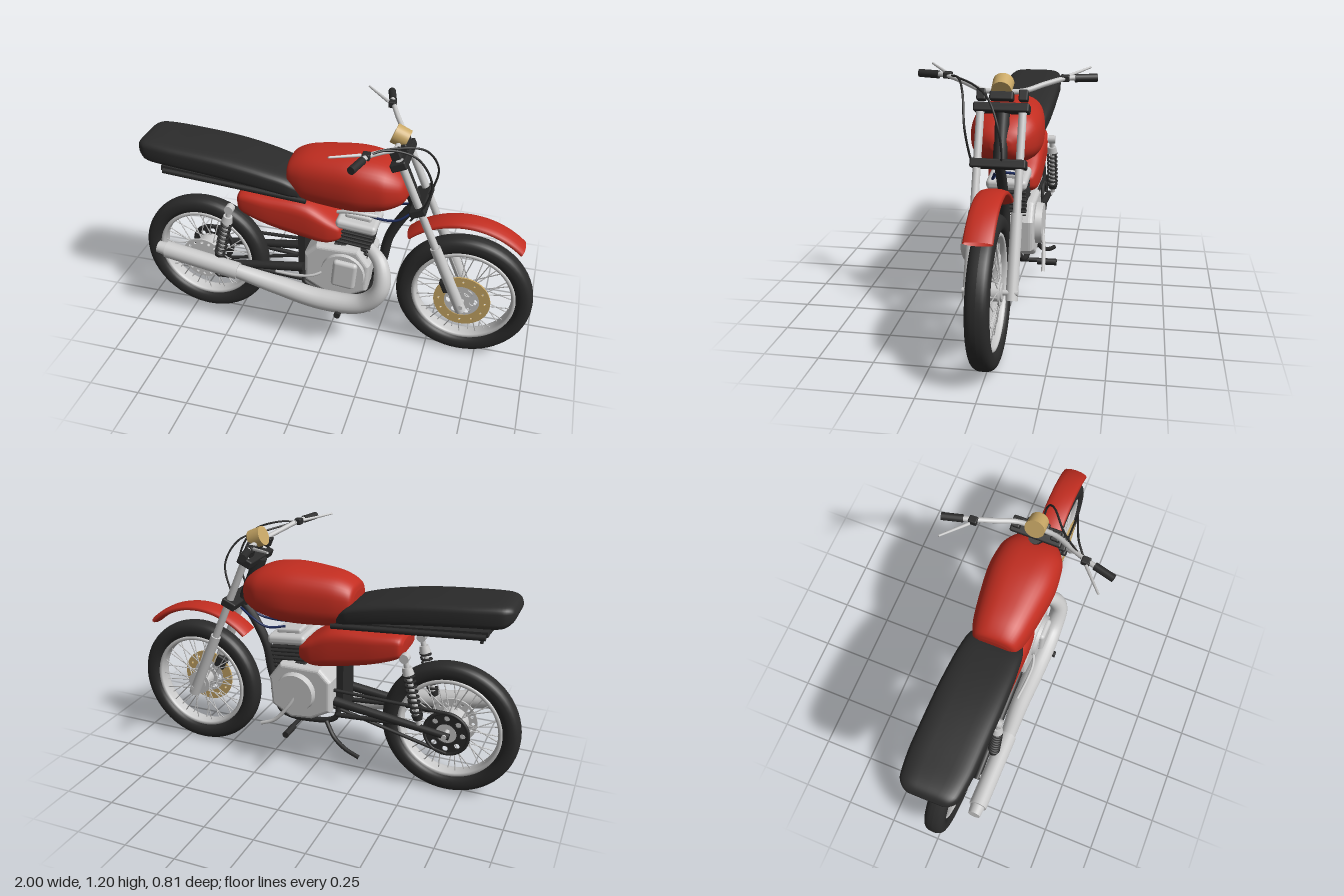
import * as THREE from 'three';
import { RoundedBoxGeometry } from 'three/addons/geometries/RoundedBoxGeometry.js';

const mat = (name, color, side = THREE.FrontSide) => new THREE.MeshStandardMaterial({ name, color, side });
const V = (p) => new THREE.Vector3(...p);
const UP = new THREE.Vector3(0, 1, 0);

export function createModel() {
  const model = new THREE.Group();
  model.name = 'motorcycle';
  const red = mat('red paint', 0xc22d20, THREE.DoubleSide);
  const black = mat('black', 0x2b2b2b);
  const silver = mat('silver', 0xcacaca);
  const gold = mat('gold', 0xc9a866);
  const navy = mat('navy hose', 0x1b2a5c);

  const add = (name, geo, material, pos = [0, 0, 0], parent = model) => {
    const m = new THREE.Mesh(geo, material);
    m.name = name;
    m.position.set(...pos);
    parent.add(m);
    return m;
  };
  // Straight bar between two points
  const rod = (name, a, b, r, material, r2 = r, seg = 16, parent = model) => {
    const d = V(b).sub(V(a));
    const m = add(name, new THREE.CylinderGeometry(r2, r, d.length(), seg), material, [0, 0, 0], parent);
    m.position.copy(V(a).addScaledVector(d, 0.5));
    m.quaternion.setFromUnitVectors(UP, d.normalize());
    return m;
  };
  // Curved pipe; radii, when given as a list, taper along its length
  const pipe = (name, pts, radii, material, seg = 32, sides = 10) => {
    const curve = new THREE.CatmullRomCurve3(pts.map(V));
    if (!Array.isArray(radii)) return add(name, new THREE.TubeGeometry(curve, seg, radii, sides), material);
    const geo = new THREE.TubeGeometry(curve, seg, 1, sides);
    const pos = geo.attributes.position, p = new THREE.Vector3();
    for (let i = 0; i < pos.count; i++) {
      const t = Math.floor(i / (sides + 1)) / seg;
      const f = t * (radii.length - 1), k = Math.min(Math.floor(f), radii.length - 2);
      const c = curve.getPointAt(t);
      p.fromBufferAttribute(pos, i).sub(c).multiplyScalar(THREE.MathUtils.lerp(radii[k], radii[k + 1], f - k)).add(c);
      pos.setXYZ(i, p.x, p.y, p.z);
    }
    return add(name, geo, material);
  };
  // Smooth body along x from stations [x, top, bottom, half width]
  const loft = (name, stations, power, material, steps = 40, n = 40) => {
    const side = new THREE.CatmullRomCurve3(stations.map((s) => V([s[0], s[1], s[2]])));
    const plan = new THREE.CatmullRomCurve3(stations.map((s) => V([s[3], 0, 0])));
    const verts = [], idx = [];
    const pw = (v) => Math.sign(v) * Math.abs(v) ** (2 / power);
    for (let i = 0; i <= steps; i++) {
      const s = side.getPoint(i / steps), w = plan.getPoint(i / steps).x;
      for (let j = 0; j < n; j++) {
        const a = (j / n) * Math.PI * 2;
        verts.push(s.x, (s.y + s.z) / 2 + ((s.y - s.z) / 2) * pw(Math.sin(a)), w * pw(Math.cos(a)));
      }
    }
    const ends = [stations[0], stations[stations.length - 1]];
    for (const e of ends) verts.push(e[0], (e[1] + e[2]) / 2, 0);
    const c0 = (steps + 1) * n, last = steps * n;
    for (let j = 0; j < n; j++) {
      const k = (j + 1) % n;
      for (let i = 0; i < steps; i++) {
        const a = i * n + j, b = a + n, c = i * n + k, d = c + n;
        idx.push(a, b, c, b, d, c);
      }
      idx.push(c0, j, k, c0 + 1, last + k, last + j);
    }
    const geo = new THREE.BufferGeometry();
    geo.setAttribute('position', new THREE.Float32BufferAttribute(verts, 3));
    geo.setIndex(idx);
    geo.computeVertexNormals();
    return add(name, geo, material);
  };
  // Round plate facing z, with a centre bore and a ring of holes
  const plate = (name, r, bore, holes, holeAt, holeR, depth, material, pos, parent) => {
    const s = new THREE.Shape().absarc(0, 0, r, 0, Math.PI * 2);
    if (bore) s.holes.push(new THREE.Path().absarc(0, 0, bore, 0, Math.PI * 2, true));
    for (let i = 0; i < holes; i++) {
      const a = (i / holes) * Math.PI * 2;
      s.holes.push(new THREE.Path().absarc(holeAt * Math.cos(a), holeAt * Math.sin(a), holeR, 0, Math.PI * 2, true));
    }
    return add(name, new THREE.ExtrudeGeometry(s, { depth, bevelEnabled: false, curveSegments: 24 }), material, pos, parent);
  };
  const ring = (r, hr, hz, p) => {
    const pw = (v) => Math.sign(v) * Math.abs(v) ** (2 / p);
    const pts = Array.from({ length: 25 }, (_, i) => {
      const a = (i / 24) * Math.PI * 2;
      return new THREE.Vector2(r + hr * pw(Math.cos(a)), hz * pw(Math.sin(a)));
    });
    return new THREE.LatheGeometry(pts, 64).rotateX(Math.PI / 2);
  };

  // Wheels with laced spokes
  const wheel = (name, x) => {
    const g = new THREE.Group();
    g.name = name;
    g.position.set(x, 0.335, 0);
    model.add(g);
    add('tyre', ring(0.29, 0.042, 0.05, 2.5), black, [0, 0, 0], g);
    add('rim', ring(0.243, 0.013, 0.036, 3), silver, [0, 0, 0], g);
    rod('hub', [0, 0, -0.055], [0, 0, 0.055], 0.04, silver, 0.04, 24, g);
    rod('axle', [0, 0, -0.12], [0, 0, 0.12], 0.012, silver, 0.012, 12, g);
    for (let i = 0; i < 36; i++) {
      const a = (i / 36) * Math.PI * 2, b = a + (i % 4 < 2 ? 0.45 : -0.45), z = i % 2 ? 0.042 : -0.042;
      rod('spoke', [0.05 * Math.cos(b), 0.05 * Math.sin(b), z], [0.236 * Math.cos(a), 0.236 * Math.sin(a), z * 0.2], 0.0028, silver, 0.0028, 5, g);
    }
    for (const z of [-0.048, 0.04]) plate('hubFlange', 0.06, 0, 0, 0, 0, 0.008, silver, [0, 0, z], g);
    return g;
  };
  const front = wheel('frontWheel', 0.665), rear = wheel('rearWheel', -0.67);
  plate('brakeDisc', 0.137, 0.085, 12, 0.112, 0.006, 0.008, gold, [0, 0, 0.058], front);
  plate('discCarrier', 0.086, 0.012, 6, 0.056, 0.02, 0.006, silver, [0, 0, 0.057], front);
  plate('rearDisc', 0.115, 0.07, 16, 0.095, 0.008, 0.008, silver, [0, 0, 0.062], rear);
  plate('rearDrum', 0.075, 0, 0, 0, 0, 0.11, silver, [0, 0, -0.05], rear);
  plate('sprocket', 0.105, 0.05, 8, 0.078, 0.014, 0.008, black, [0, 0, -0.08], rear);
  add('caliper', new RoundedBoxGeometry(0.06, 0.07, 0.04, 2, 0.01), black, [0.59, 0.42, 0.07]).rotation.z = 0.4;

  // Tank, seat and painted bodywork
  loft('fuelTank', [[-0.2, 0.95, 0.87, 0.07], [-0.187, 0.985, 0.825, 0.105], [-0.12, 1.02, 0.782, 0.13], [0, 1.038, 0.766, 0.15], [0.15, 1.042, 0.765, 0.165],
    [0.27, 1.018, 0.788, 0.153], [0.35, 0.965, 0.825, 0.105], [0.38, 0.92, 0.87, 0.04]], 2.6, red);
  loft('seat', [[-0.94, 0.975, 0.955, 0.08], [-0.925, 0.998, 0.925, 0.11], [-0.89, 1.01, 0.898, 0.135], [-0.75, 1.003, 0.885, 0.15], [-0.5, 0.98, 0.86, 0.152],
    [-0.3, 0.942, 0.832, 0.147], [-0.18, 0.905, 0.81, 0.135], [-0.13, 0.865, 0.805, 0.115]], 4, black);
  loft('sidePanels', [[-0.45, 0.765, 0.7, 0.09], [-0.43, 0.785, 0.675, 0.115], [-0.3, 0.788, 0.625, 0.13], [-0.1, 0.775, 0.58, 0.132],
    [0, 0.72, 0.57, 0.125], [0.06, 0.675, 0.595, 0.105], [0.08, 0.65, 0.625, 0.06]], 4, red);
  const arc = THREE.MathUtils.degToRad(86);
  add('frontFender', new THREE.TorusGeometry(0.385, 0.018, 12, 40, arc).rotateZ(Math.PI / 2 - arc / 2).scale(1, 1, 3.4), red, [0.65, 0.365, 0]);

  // Frame
  const seatBase = add('seatBase', new THREE.BoxGeometry(0.72, 0.025, 0.2), black, [-0.47, 0.833, 0]);
  seatBase.rotation.z = -0.085;
  pipe('tailBracket', [[-0.83, 0.86, 0], [-0.81, 0.83, 0], [-0.79, 0.81, 0], [-0.785, 0.78, 0]], 0.008, black, 12, 8);
  rod('backbone', [0.38, 0.87, 0], [-0.14, 0.8, 0], 0.028, black);
  pipe('downTube', [[0.43, 0.84, 0], [0.35, 0.73, 0], [0.285, 0.6, 0], [0.255, 0.45, 0], [0.2, 0.3, 0]], 0.024, black);
  rod('steeringHead', [0.405, 0.81, 0], [0.305, 1.05, 0], 0.032, black);
  add('pivotPost', new THREE.BoxGeometry(0.035, 0.46, 0.14), black, [-0.135, 0.57, 0]);
  rod('footpegBar', [0.085, 0.245, -0.14], [0.085, 0.245, 0.15], 0.011, black);
  for (const s of [-1, 1]) {
    rod('seatRail', [-0.1, 0.795, 0.1 * s], [-0.82, 0.85, 0.1 * s], 0.014, black);
    pipe('cradleRail', [[0.24, 0.38, 0.03 * s], [0.17, 0.285, 0.07 * s], [0, 0.275, 0.08 * s], [-0.12, 0.31, 0.08 * s], [-0.135, 0.42, 0.07 * s]], 0.014, black);
    rod('swingarm', [-0.12, 0.405, 0.095 * s], [-0.69, 0.333, 0.1 * s], 0.024, black, 0.016);
    rod('swingarmBrace', [-0.13, 0.33, 0.09 * s], [-0.46, 0.355, 0.095 * s], 0.012, black);
    rod('footpeg', [0.085, 0.24, 0.13 * s], [0.085, 0.24, 0.224 * s], 0.016, black);
    // Rear shock absorber: rod, spring, end caps
    const shock = new THREE.Group();
    shock.name = 'rearShock';
    shock.position.set(-0.555, 0.39, 0.135 * s);
    shock.rotation.z = -0.25;
    model.add(shock);
    const coil = Array.from({ length: 97 }, (_, i) => V([0.024 * Math.cos(i * Math.PI / 6), 0.05 + i * 0.0021, 0.024 * Math.sin(i * Math.PI / 6)]));
    add('spring', new THREE.TubeGeometry(new THREE.CatmullRomCurve3(coil), 160, 0.006, 6), black, [0, 0, 0], shock);
    rod('damper', [0, 0, 0], [0, 0.32, 0], 0.013, silver, 0.013, 12, shock);
    rod('upperCap', [0, 0.25, 0], [0, 0.285, 0], 0.028, silver, 0.022, 16, shock);
    rod('lowerCap', [0, 0.025, 0], [0, 0.05, 0], 0.022, black, 0.027, 16, shock);
    rod('upperEye', [0, 0.33, -0.018], [0, 0.33, 0.018], 0.022, silver, 0.022, 16, shock);
  }
  rod('brakeStay', [-0.66, 0.32, 0.075], [-0.58, 0.255, 0.09], 0.008, black);
  rod('brakeRod', [-0.58, 0.255, 0.09], [-0.12, 0.29, 0.09], 0.006, black);
  pipe('kickstand', [[-0.08, 0.29, -0.1], [-0.13, 0.225, -0.125], [-0.2, 0.19, -0.155], [-0.28, 0.17, -0.175]], 0.011, black, 16, 8);
  rod('chainTop', [-0.66, 0.44, -0.076], [-0.02, 0.455, -0.076], 0.009, black, 0.009, 8);
  rod('chainBottom', [-0.68, 0.23, -0.076], [-0.02, 0.385, -0.076], 0.009, black, 0.009, 8);
  add('chainWrap', new THREE.TorusGeometry(0.105, 0.009, 8, 40), black, [-0.67, 0.335, -0.076]);

  // Engine
  const crank = new THREE.Shape();
  [[-0.09, 0.36], [0, 0.31], [0.1, 0.3], [0.19, 0.35], [0.2, 0.48], [0.15, 0.55], [-0.04, 0.55], [-0.09, 0.5]]
    .forEach((p, i) => (i ? crank.lineTo(...p) : crank.moveTo(...p)));
  crank.closePath();
  const bevel = { depth: 0.2, bevelSize: 0.018, bevelThickness: 0.025, bevelSegments: 4 };
  add('crankcase', new THREE.ExtrudeGeometry(crank, bevel), silver, [0, 0, -0.1]);
  rod('clutchCover', [0.09, 0.435, 0.1], [0.09, 0.435, 0.142], 0.115, silver, 0.105, 40);
  const cover = add('clutchCap', new RoundedBoxGeometry(0.12, 0.15, 0.04, 4, 0.018), silver, [0.1, 0.44, 0.143]);
  cover.rotation.z = -0.1;
  rod('generatorCover', [0.07, 0.435, -0.1], [0.07, 0.435, -0.157], 0.105, silver, 0.095, 40);
  const top = new THREE.Group();
  top.name = 'cylinder';
  top.position.set(0.115, 0.5, 0);
  top.rotation.z = -0.1;
  model.add(top);
  rod('barrel', [0, 0, 0], [0, 0.16, 0], 0.07, black, 0.07, 24, top);
  for (let i = 0; i < 7; i++) add('fin', new RoundedBoxGeometry(0.165 + i * 0.004, 0.011, 0.18, 2, 0.004), black, [0, 0.02 + i * 0.02, 0], top);
  add('cylinderHead', new RoundedBoxGeometry(0.2, 0.05, 0.19, 4, 0.02), silver, [0.005, 0.178, 0], top);
  add('headCover', new RoundedBoxGeometry(0.13, 0.03, 0.1, 3, 0.012), silver, [0.005, 0.21, 0], top);
  pipe('intakePipe', [[0.04, 0.73, 0.05], [0.1, 0.745, 0.06], [0.17, 0.745, 0.06], [0.23, 0.73, 0.04]], 0.009, silver, 16, 8);
  for (const z of [0.03, -0.04]) pipe('coolantHose', [[0.16, 0.73, z], [0.25, 0.72, z * 1.5], [0.33, 0.74 - z * 0.4, z * 1.5], [0.41, 0.785, z * 0.6]], 0.006, navy, 20, 8);
  pipe('kickLever', [[0, 0.43, 0.13], [-0.06, 0.405, 0.15], [-0.14, 0.39, 0.15], [-0.25, 0.385, 0.14]], 0.007, silver, 20, 8);
  pipe('shiftLever', [[0.05, 0.45, -0.14], [0.1, 0.36, -0.16], [0.17, 0.28, -0.17], [0.24, 0.25, -0.175]], 0.009, silver, 20, 8);
  rod('brakePedal', [0.08, 0.25, 0.12], [0.24, 0.25, 0.15], 0.008, silver);

  // Exhaust
  pipe('expansionChamber', [[0.2, 0.555, 0.05], [0.27, 0.51, 0.11], [0.285, 0.4, 0.16], [0.2, 0.3, 0.165], [0, 0.275, 0.16], [-0.25, 0.315, 0.155], [-0.45, 0.367, 0.165]],
    [0.028, 0.042, 0.047, 0.052, 0.05, 0.045, 0.036], silver, 56, 20);
  rod('muffler', [-0.44, 0.365, 0.165], [-0.82, 0.428, 0.165], 0.043, silver, 0.043, 28);
  rod('mufflerTip', [-0.81, 0.426, 0.165], [-0.865, 0.436, 0.165], 0.035, silver, 0.03, 24);

  // Fork and clamps, raked back
  const rake = 0.406;
  const forkX = (y) => 0.32 + (1.107 - y) * 0.43;
  for (const [name, y] of [['lowerClamp', 0.827], ['upperClamp', 1.052]])
    add(name, new RoundedBoxGeometry(0.075, 0.04, 0.245, 2, 0.008), black, [forkX(y) - 0.01, y, 0]).rotation.z = rake;
  for (const s of [-1, 1]) {
    rod('forkTube', [forkX(1.075), 1.075, 0.093 * s], [forkX(0.6), 0.6, 0.093 * s], 0.018, silver);
    rod('forkLeg', [forkX(0.64), 0.64, 0.093 * s], [forkX(0.3), 0.3, 0.093 * s], 0.025, silver, 0.027, 20);
    add('barRiser', new RoundedBoxGeometry(0.045, 0.05, 0.04, 2, 0.006), black, [0.315, 1.105, 0.093 * s]).rotation.z = rake;
    // Grip, perch and lever
    rod('grip', [0.215, 1.17, 0.305 * s], [0.19, 1.17, 0.4 * s], 0.018, black);
    add('leverPerch', new RoundedBoxGeometry(0.035, 0.03, 0.04, 2, 0.006), black, [0.222, 1.17, 0.262 * s]);
    rod('lever', [0.2, 1.175, 0.27 * s], [0.085, 1.198, 0.365 * s], 0.008, silver, 0.005, 8);
  }
  pipe('handlebar', [[0.19, 1.17, -0.395], [0.225, 1.17, -0.27], [0.265, 1.15, -0.18], [0.31, 1.125, -0.09], [0.315, 1.122, 0],
    [0.31, 1.125, 0.09], [0.265, 1.15, 0.18], [0.225, 1.17, 0.27], [0.19, 1.17, 0.395]], 0.012, silver, 48, 12);

  // Gauge on its bracket
  rod('gauge', [0.35, 1.132, 0], [0.287, 1.158, 0], 0.044, gold, 0.047, 32);
  add('gaugeBracket', new RoundedBoxGeometry(0.05, 0.04, 0.105, 2, 0.008), black, [0.335, 1.105, 0]).rotation.z = rake;

  // Control cables
  pipe('clutchCable', [[0.23, 1.17, 0.25], [0.3, 1.175, 0.2], [0.42, 1.13, 0.155], [0.49, 1.0, 0.135], [0.46, 0.87, 0.12], [0.4, 0.78, 0.11]], 0.005, black, 40, 8);
  pipe('brakeCable', [[0.23, 1.17, 0.24], [0.32, 1.15, 0.13], [0.44, 1.11, 0.04], [0.495, 1.0, -0.01], [0.47, 0.88, -0.02], [0.44, 0.82, -0.01]], 0.005, black, 40, 8);
  return model;
}
